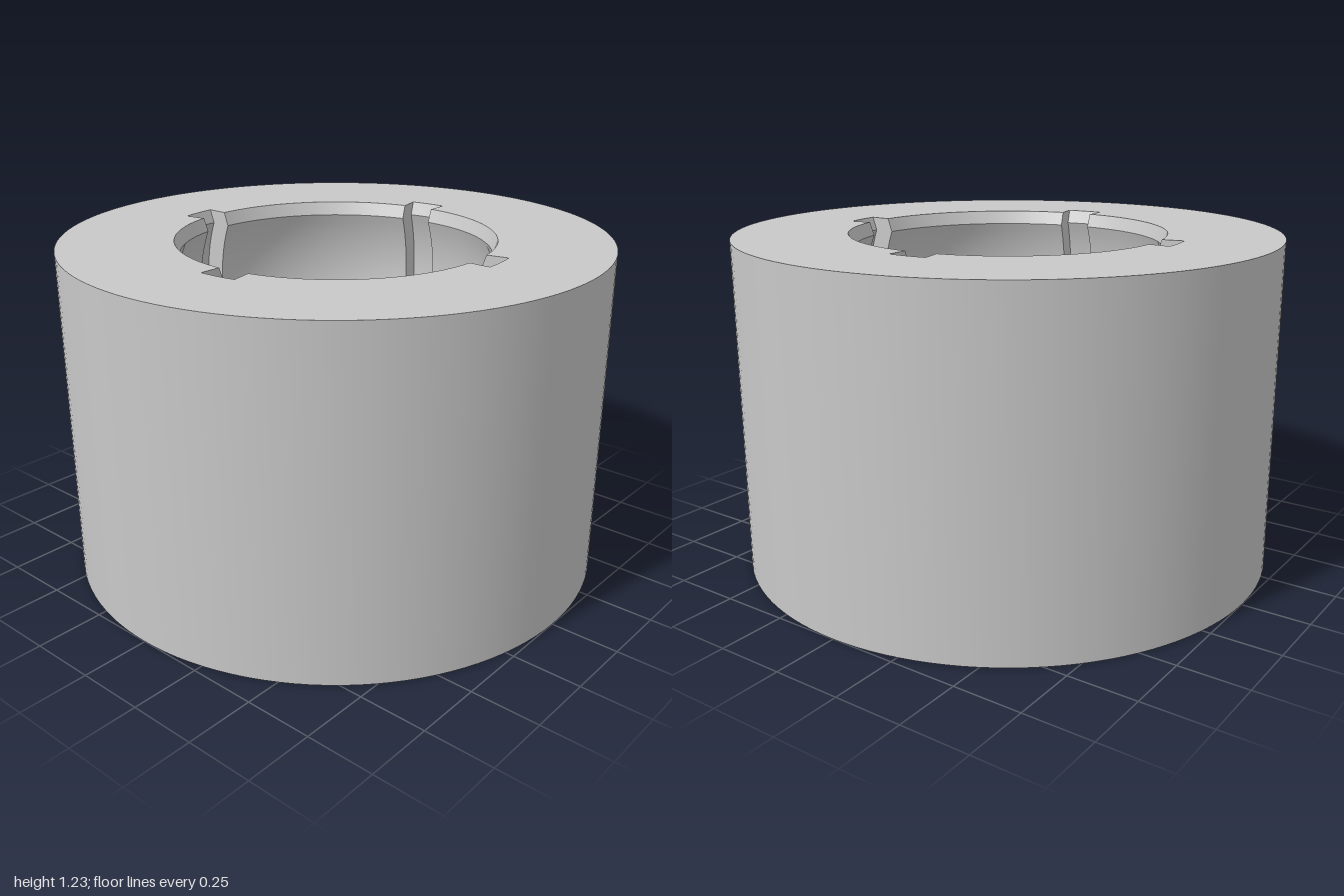
import * as THREE from 'three';
import { mergeGeometries, toCreasedNormals } from 'three/addons/utils/BufferGeometryUtils.js';

const H = 1.23;      // body height
const R = 0.61;      // ball cavity radius
const NECK = 0.567;  // narrowest radius of the mouth
const RIM = 0.585;   // mouth radius at the top face
const NECK_Y = H - 0.05;
const SHIFT = 0.08;  // slots are the cavity profile moved outward
const CENTER_Y = NECK_Y - Math.sqrt(R * R - NECK * NECK);
const SLOT = THREE.MathUtils.degToRad(12);
const QUARTER = Math.PI / 2;

const v = (x, y) => new THREE.Vector2(x, y);

// Arc of the ball cavity, angles measured from its lowest point
function arc(from, to, steps) {
  return Array.from({ length: steps + 1 }, (_, i) => {
    const a = from + (to - from) * i / steps;
    return v(Math.max(0, R * Math.sin(a)), CENTER_Y - R * Math.cos(a));
  });
}

export function createModel() {
  const group = new THREE.Group();
  const grey = new THREE.MeshStandardMaterial({ color: 0xc8c8c8 });
  grey.name = 'plain grey';

  const neckAngle = Math.PI - Math.asin(NECK / R);
  const slotAngle = Math.asin(SHIFT / R);
  const shell = [v(0, 0), v(1, 0), v(1, H)];
  const upper = [v(RIM, H), ...arc(neckAngle, slotAngle, 32)];
  const pole = arc(slotAngle, 0, 3);

  // Plain cavity and the deeper slot profile
  const plainProfile = [...shell, ...upper, ...pole.slice(1)];
  const slotCurve = [v(RIM, H), ...arc(neckAngle, 0, 36)].map(p => v(p.x + SHIFT, p.y));
  const slotProfile = [...shell, ...slotCurve, ...pole];

  // Side wall of a slot, between the two profiles
  const wallShape = new THREE.Shape([...upper, ...slotCurve.slice().reverse()]);
  const wall = (phi, flip) => {
    const g = new THREE.ShapeGeometry(wallShape);
    if (flip) g.index.array.reverse();
    return g.rotateY(phi - QUARTER);
  };

  // Four repeats of slot, walls and plain sector
  const parts = [];
  for (let k = 0; k < 4; k++) {
    const phi = k * QUARTER;
    parts.push(
      new THREE.LatheGeometry(slotProfile, 4, phi, SLOT),
      new THREE.LatheGeometry(plainProfile, 26, phi + SLOT, QUARTER - SLOT),
      wall(phi, true),
      wall(phi + SLOT, false)
    );
  }

  const body = new THREE.Mesh(toCreasedNormals(mergeGeometries(parts), Math.PI / 6), grey);
  body.name = 'slottedSocketBody';
  group.add(body);
  return group;
}
